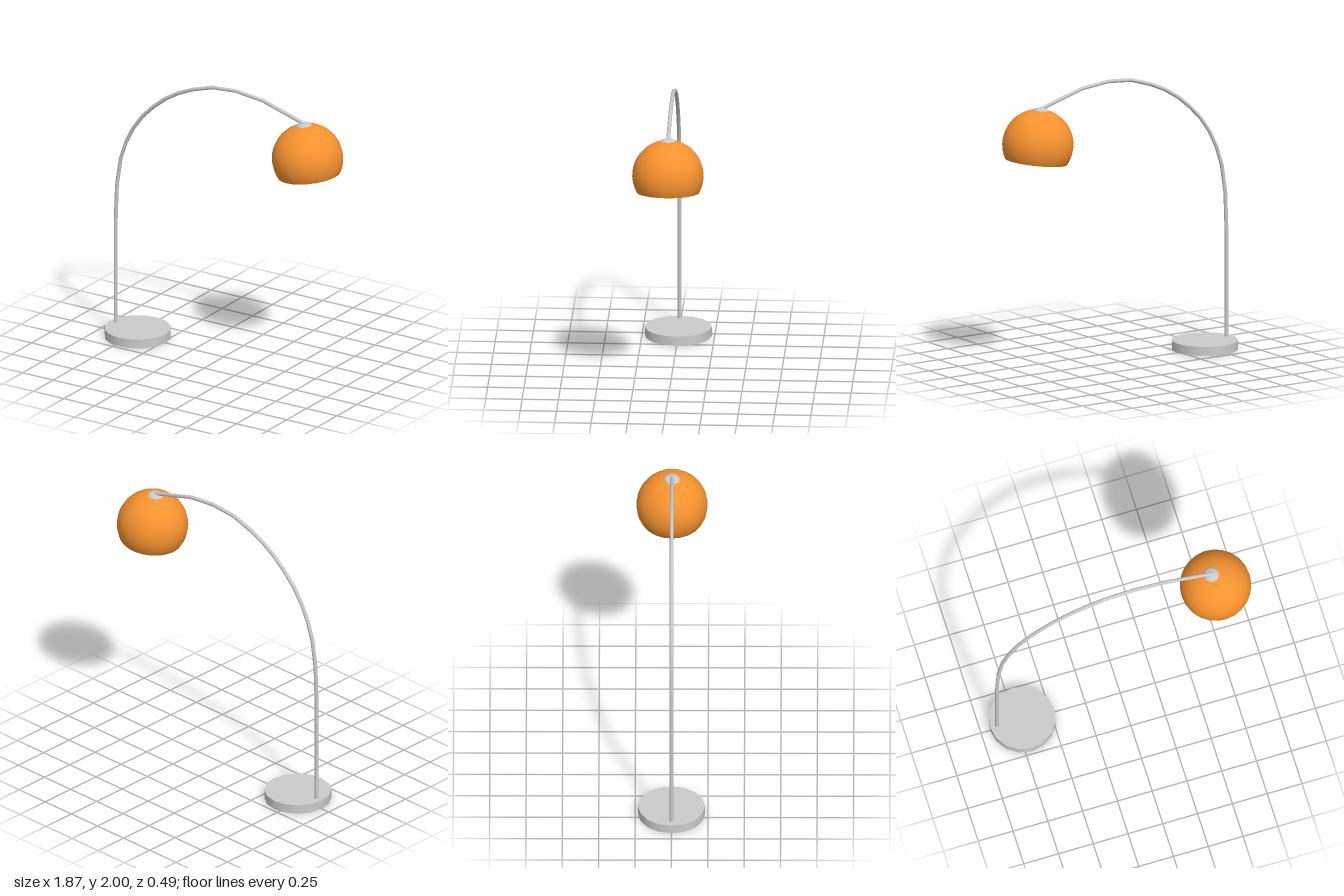
import * as THREE from 'three';

// Curve running straight between its points, with one tube ring at each point
class PolyCurve extends THREE.Curve {
  constructor(points) {
    super();
    this.points = points.map(([x, y]) => new THREE.Vector3(x, y, 0));
  }
  getPoint(t, target = new THREE.Vector3()) {
    const n = this.points.length - 1;
    const i = Math.min(Math.floor(t * n), n - 1);
    return target.lerpVectors(this.points[i], this.points[i + 1], t * n - i);
  }
  getPointAt(u, target) { return this.getPoint(u, target); }
  getTangentAt(u, target) { return this.getTangent(u, target); }
}

export function createModel() {
  const group = new THREE.Group();
  const metal = new THREE.MeshStandardMaterial({ color: 0xcccccc });
  const orange = new THREE.MeshStandardMaterial({ color: 0xf7922f, side: THREE.DoubleSide });

  const add = (name, geometry, material, parent = group) => {
    const mesh = new THREE.Mesh(geometry, material);
    mesh.name = name;
    parent.add(mesh);
    return mesh;
  };

  // Heavy round foot
  add('base', new THREE.CylinderGeometry(0.23, 0.23, 0.065, 16), metal)
    .position.set(-0.705, 0.0325, 0);

  // Arched arm: upright post bending over to the shade
  const path = [
    [-0.885, 0.05], [-0.885, 0.8], [-0.875, 1.08], [-0.845, 1.28], [-0.8, 1.415],
    [-0.745, 1.525], [-0.67, 1.63], [-0.58, 1.722], [-0.48, 1.804], [-0.37, 1.871],
    [-0.25, 1.923], [-0.09, 1.972], [0.1, 1.986], [0.32, 1.963], [0.665, 1.862],
  ];
  add('arm', new THREE.TubeGeometry(new PolyCurve(path), path.length - 1, 0.0135, 8), metal);

  // Lamp head, tilted slightly about the shade's centre
  const head = new THREE.Group();
  head.name = 'lampHead';
  head.position.set(0.685, 1.615, 0);
  head.rotation.z = 0.125;
  group.add(head);

  // Open-bottomed spherical shade
  add('shade', new THREE.SphereGeometry(0.246, 24, 14, 0, Math.PI * 2, 0, 2.07), orange, head);

  // Small domed cap where the arm meets the shade
  const capProfile = [[0.055, 0.228], [0.055, 0.243], [0.035, 0.254], [0, 0.259]]
    .map(([r, y]) => new THREE.Vector2(r, y));
  add('shadeCap', new THREE.LatheGeometry(capProfile, 12), metal, head);

  return group;
}
